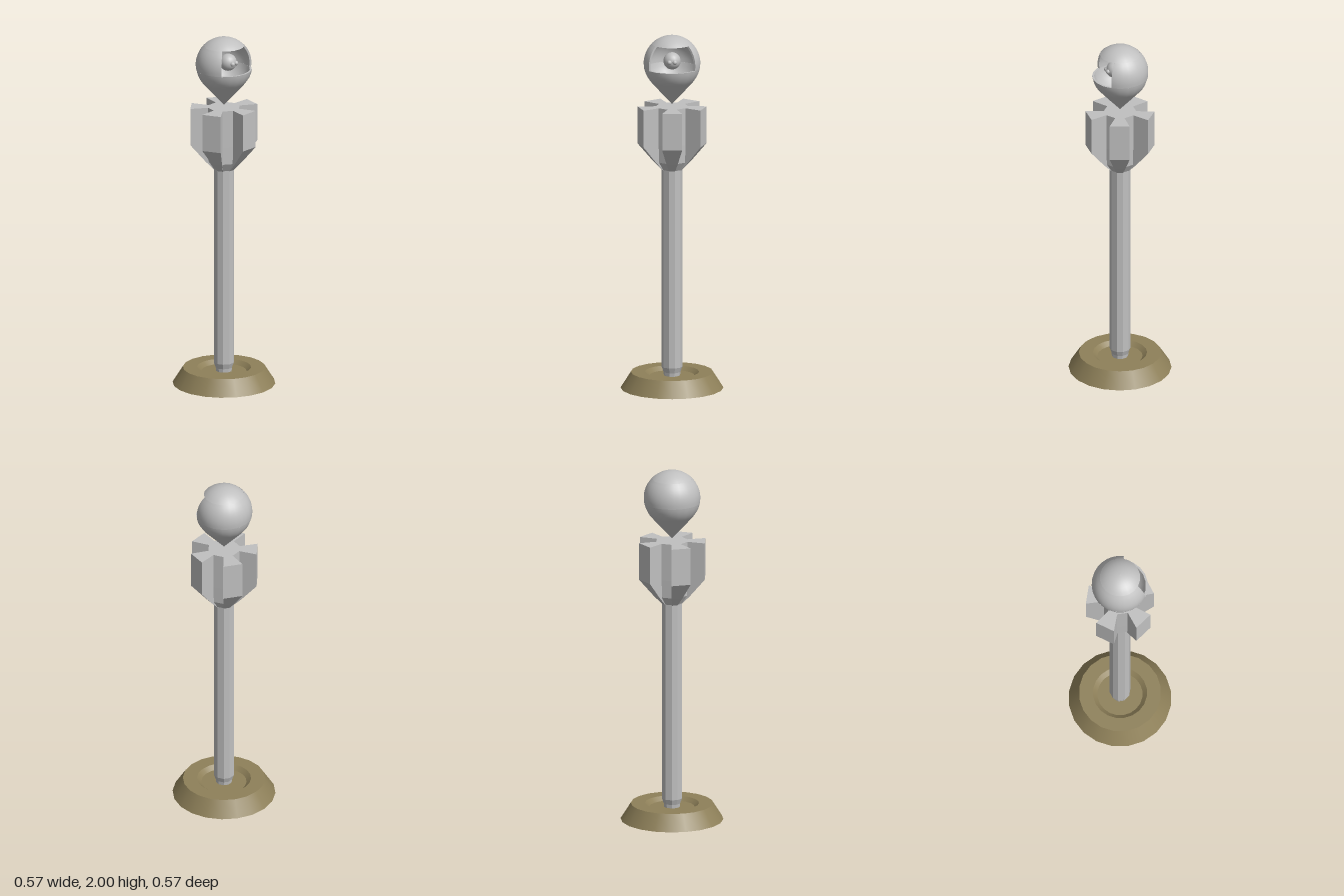
import * as THREE from 'three';

const SIDES = 20;
const HEAD_Y = 1.845, OUTER = 0.157, INNER = 0.146;
const WINDOW_LOW = 1.82, WINDOW_HIGH = 1.955, WINDOW_ANGLE = THREE.MathUtils.degToRad(55);

export function createModel() {
  const grey = new THREE.MeshStandardMaterial({ color: 0xc0c0c0 });
  grey.name = 'stone grey';
  const shellGrey = grey;
  shellGrey.side = THREE.DoubleSide;
  const olive = new THREE.MeshStandardMaterial({ color: 0x8e8059 });
  olive.name = 'olive brown';

  const model = new THREE.Group();
  const makeGroup = (name) => {
    const g = new THREE.Group();
    g.name = name;
    model.add(g);
    return g;
  };
  const add = (parent, name, geometry, material) => {
    const m = new THREE.Mesh(geometry, material);
    m.name = name;
    parent.add(m);
    return m;
  };
  const lathe = (pts, start = 0, length = Math.PI * 2) =>
    new THREE.LatheGeometry(pts.map(([r, y]) => new THREE.Vector2(r, y)), SIDES, start, length);

  // Round plinth with a shallow dish in its top
  const plinth = makeGroup('plinth');
  const edge = [[0, 0], [0.285, 0], [0.228, 0.09], [0.15, 0.09], [0.125, 0.068], [0, 0.068]];
  ['underside', 'slopedSide', 'rim', 'dishWall', 'dishFloor'].forEach((name, i) =>
    add(plinth, name, lathe([edge[i], edge[i + 1]]), olive));

  // Five-armed cross-sections: arm corners at radius R, valleys at radius r
  const ring = ([y, R, r]) => {
    const pts = [];
    const half = THREE.MathUtils.degToRad(16.7);
    const put = (rad, a) => pts.push([rad * Math.sin(a), y, rad * Math.cos(a)]);
    for (let k = 0; k < 5; k++) {
      const a = (k * Math.PI * 2) / 5;
      if (r !== undefined) put(r, a - half);
      put(R, a - half);
      put(R, a + half);
      if (r !== undefined) put(r, a + half);
    }
    return pts;
  };
  const loft = (sections) => {
    const rings = sections.map(ring);
    const n = rings[0].length, last = rings.length - 1;
    const pos = [];
    const tri = (...c) => c.forEach((p) => pos.push(...p));
    for (let i = 0; i < n; i++) {
      const j = (i + 1) % n;
      for (let s = 0; s < last; s++) {
        const lo = rings[s], hi = rings[s + 1];
        tri(lo[i], lo[j], hi[j]);
        tri(lo[i], hi[j], hi[i]);
      }
      tri([0, sections[0][0], 0], rings[0][j], rings[0][i]);
      tri([0, sections[last][0], 0], rings[last][i], rings[last][j]);
    }
    const g = new THREE.BufferGeometry();
    g.setAttribute('position', new THREE.Float32BufferAttribute(pos, 3));
    g.computeVertexNormals();
    return g;
  };

  // Ten-sided post and the flared crown on top of it
  add(model, 'post', loft([[0.07, 0.045], [0.09, 0.047], [0.12, 0.058], [1.26, 0.058]]), grey);
  add(model, 'crown', loft([
    [1.24, 0.058, 0.056], [1.29, 0.106, 0.088], [1.39, 0.191, 0.09], [1.6, 0.191, 0.09],
  ]), grey);

  // Hollow teardrop head, open at the front
  const head = makeGroup('head');
  const arc = (R, y0, y1, n = 8) => {
    const a0 = Math.asin(Math.max(-1, (y0 - HEAD_Y) / R));
    const a1 = Math.asin(Math.min(1, (y1 - HEAD_Y) / R));
    return Array.from({ length: n + 1 }, (_, i) => {
      const a = a0 + ((a1 - a0) * i) / n;
      return [Math.max(0, R * Math.cos(a)), HEAD_Y + R * Math.sin(a)];
    });
  };
  const low = arc(OUTER, 1.74, WINDOW_LOW);
  const lowIn = arc(INNER, HEAD_Y - INNER, WINDOW_LOW).reverse();
  add(head, 'bowl', lathe([[0, 1.612], [0.06, 1.677], ...low]), shellGrey);
  add(head, 'bowlRim', lathe([low[low.length - 1], lowIn[0]]), shellGrey);
  add(head, 'bowlLining', lathe(lowIn), shellGrey);

  const top = arc(OUTER, WINDOW_HIGH, HEAD_Y + OUTER);
  const topIn = arc(INNER, WINDOW_HIGH, HEAD_Y + INNER).reverse();
  add(head, 'cap', lathe(top), shellGrey);
  add(head, 'capRim', lathe([topIn[topIn.length - 1], top[0]]), shellGrey);
  add(head, 'capLining', lathe(topIn), shellGrey);

  // Wall around the back, with closed edges beside the opening
  const wall = arc(OUTER, WINDOW_LOW, WINDOW_HIGH);
  const wallIn = arc(INNER, WINDOW_LOW, WINDOW_HIGH).reverse();
  const sweep = Math.PI * 2 - 2 * WINDOW_ANGLE;
  add(head, 'backWall', lathe(wall, WINDOW_ANGLE, sweep), shellGrey);
  add(head, 'backWallLining', lathe(wallIn, WINDOW_ANGLE, sweep), shellGrey);
  const slice = new THREE.Shape([...wall, ...wallIn].map(([x, y]) => new THREE.Vector2(x, y)));
  for (const side of [-1, 1]) {
    add(head, side > 0 ? 'leftOpeningEdge' : 'rightOpeningEdge', new THREE.ShapeGeometry(slice), shellGrey)
      .rotation.y = side * WINDOW_ANGLE - Math.PI / 2;
  }

  // Small ball with two round eyes inside the head
  const figure = makeGroup('innerFigure');
  figure.position.set(0, 1.865, 0.03);
  add(figure, 'ball', new THREE.SphereGeometry(0.048, 20, 14), grey);
  for (const side of [-1, 1]) {
    add(figure, side > 0 ? 'leftEye' : 'rightEye', new THREE.SphereGeometry(0.013, 12, 8), grey)
      .position.set(side * 0.015, 0, 0.044);
  }
  return model;
}
